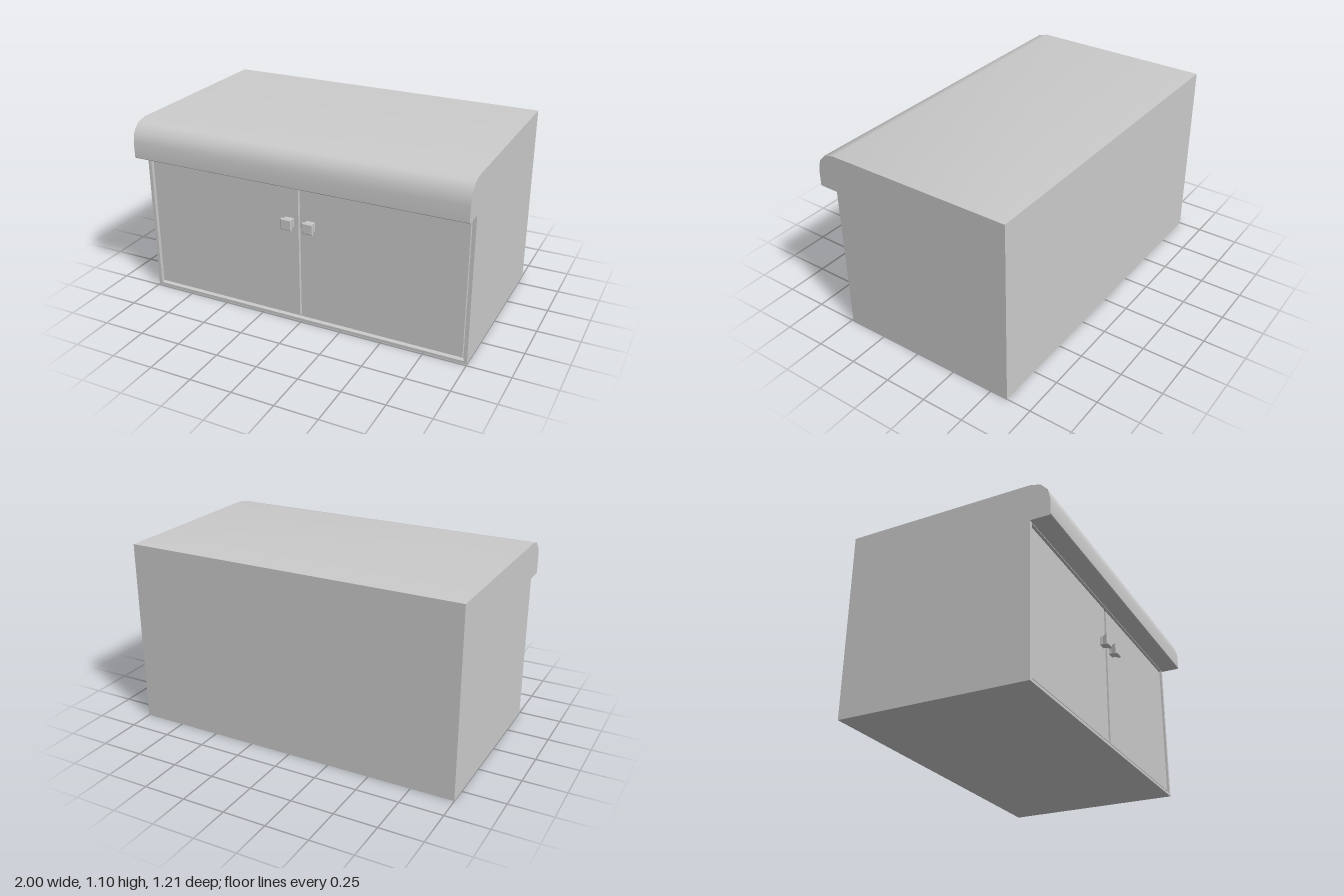
import * as THREE from 'three';
import { toCreasedNormals } from 'three/addons/utils/BufferGeometryUtils.js';

const material = new THREE.MeshStandardMaterial({ color: 0xcccccc });

function add(parent, name, geometry, x = 0, y = 0, z = 0) {
  const mesh = new THREE.Mesh(geometry, material);
  mesh.name = name;
  mesh.position.set(x, y, z);
  parent.add(mesh);
  return mesh;
}

export function createModel() {
  const group = new THREE.Group();
  group.name = 'cabinet';
  const front = 0.49, recess = 0.46, back = -0.605;

  // Carcass and rounded overhanging top: one [z, y] side profile run across the width
  const profile = [
    [back, 0], [recess, 0], [recess, 0.88], [0.6, 0.88], [0.605, 0.885], [0.605, 0.975],
    [0.59, 1.037], [0.55, 1.08], [front, 1.095], [back, 1.095],
  ].map(([z, y]) => new THREE.Vector2(-z, y));
  const carcass = new THREE.ExtrudeGeometry(new THREE.Shape(profile), { depth: 2, bevelEnabled: false });
  carcass.rotateY(Math.PI / 2).translate(-1, 0, 0);
  add(group, 'carcassAndTop', toCreasedNormals(carcass, 0.65));

  // Thin face frame around the door opening
  const rect = (x0, y0, x1, y1) => [[x0, y0], [x1, y0], [x1, y1], [x0, y1]].map(p => new THREE.Vector2(...p));
  const frame = new THREE.Shape(rect(-1, 0, 1, 0.88));
  frame.holes.push(new THREE.Path(rect(-0.98, 0.017, 0.98, 0.876).reverse()));
  add(group, 'faceFrame',
    new THREE.ExtrudeGeometry(frame, { depth: front - recess, bevelEnabled: false }), 0, 0, recess);

  // Square knob: flared, with a chamfered front edge, as [half width, depth]
  const knobProfile = [[0.025, 0], [0.025, 0.02], [0.033, 0.043], [0.033, 0.049], [0.028, 0.053], [0, 0.053]]
    .map(([h, d]) => new THREE.Vector2(h * Math.SQRT2, d));
  const knob = toCreasedNormals(
    new THREE.LatheGeometry(knobProfile, 4).rotateY(Math.PI / 4).rotateX(Math.PI / 2), 0.1);

  // Inset doors with knobs beside the centre gap
  for (const [side, name] of [[1, 'left'], [-1, 'right']]) {
    const door = new THREE.Group();
    door.name = name + 'Door';
    add(door, name + 'DoorPanel', new THREE.BoxGeometry(0.957, 0.835, 0.03), side * 0.4915, 0.4475, recess + 0.005);
    add(door, name + 'Knob', knob, side * 0.066, 0.62, 0.478);
    group.add(door);
  }
  return group;
}
